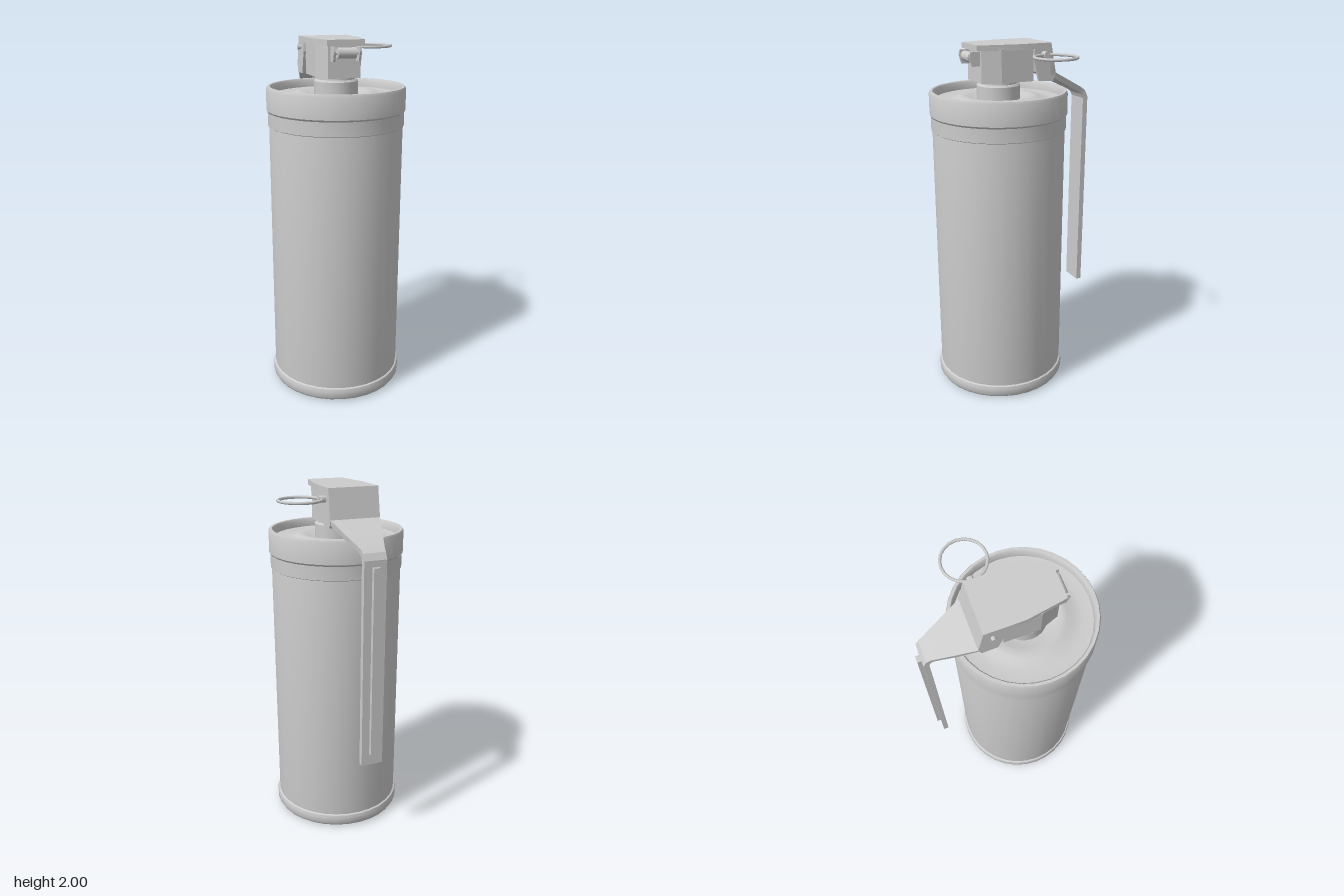
import * as THREE from 'three';
import { toCreasedNormals } from 'three/addons/utils/BufferGeometryUtils.js';

const CX = -0.01, CZ = 0.09; // axis of the can
const material = new THREE.MeshStandardMaterial({ color: 0xcccccc });

export function createModel() {
  const model = new THREE.Group();

  const add = (name, geometry, x = 0, y = 0, z = 0) => {
    const mesh = new THREE.Mesh(geometry, material);
    mesh.name = name;
    mesh.position.set(x, y, z);
    model.add(mesh);
    return mesh;
  };

  const lathe = (name, profile, segments = 32) => add(name, toCreasedNormals(
    new THREE.LatheGeometry(profile.map(p => new THREE.Vector2(...p)), segments), 0.6), CX, 0, CZ);

  // Extrudes a (z, y) outline along x, centred on x = 0
  const sidePlate = (outline, width) => {
    const shape = new THREE.Shape(outline.map(p => new THREE.Vector2(...p)));
    return new THREE.ExtrudeGeometry(shape, { depth: width, bevelEnabled: false })
      .translate(0, 0, -width / 2).rotateY(-Math.PI / 2);
  };

  // Can: recessed base, rolled bottom bead, wall and shoulder
  lathe('base', [[0, 0.035], [0.315, 0.035], [0.315, 0.012], [0.33, 0], [0.355, 0], [0.372, 0.008],
    [0.382, 0.025], [0.382, 0.06], [0.378, 0.075], [0.368, 0.08]]);
  lathe('canWall', [[0.368, 0.07], [0.37, 0.09], [0.37, 1.53], [0.366, 1.56], [0.356, 1.59], [0.345, 1.62]]);

  // Cap with a raised rim and dished lid
  lathe('cap', [[0.34, 1.61], [0.374, 1.61], [0.382, 1.62], [0.382, 1.735], [0.376, 1.748], [0.362, 1.748],
    [0.355, 1.738], [0.352, 1.70], [0.30, 1.695], [0.25, 1.70], [0.22, 1.715], [0.19, 1.72],
    [0.16, 1.71], [0.12, 1.70], [0, 1.70]]);
  lathe('capSkirt', [[0.368, 1.53], [0.376, 1.535], [0.376, 1.61]]).material = Object.assign(
    material.clone(), { side: THREE.DoubleSide });
  lathe('neck', [[0.12, 1.69], [0.12, 1.775], [0.112, 1.785], [0.105, 1.785], [0.105, 1.82], [0, 1.82]], 24);

  // Fuse head: plan outline (x, z) extruded upward
  const plan = new THREE.Shape([[0.09, -0.23], [0.128, -0.13], [0.128, 0.06], [-0.128, 0.06],
    [-0.128, -0.13], [-0.09, -0.23]].map(p => new THREE.Vector2(...p)));
  add('fuseHead', new THREE.ExtrudeGeometry(plan, { depth: 0.18, bevelEnabled: false })
    .rotateX(-Math.PI / 2), CX, 1.8, 0);

  // Front hinge: two lugs with a roller between
  const lug = [[0.22, 1.89], [0.275, 1.89], [0.29, 1.94], [0.285, 1.965], [0.22, 1.965]];
  for (const s of [-1, 1]) add('hingeLug', sidePlate(lug, 0.012), CX + s * 0.07, 0, 0);
  const alongX = (r, length, n) => new THREE.CylinderGeometry(r, r, length, n).rotateZ(Math.PI / 2);
  add('hingeRoller', toCreasedNormals(alongX(0.028, 0.1, 16), 0.6), CX, 1.933, 0.262);
  add('hingePin', alongX(0.01, 0.15, 10), CX, 1.933, 0.262);

  // Safety lever: stations of z, y and half width along its upper face
  const lever = [[0.26, 2, 0.103], [0.05, 2, 0.139], [-0.05, 2, 0.141], [-0.16, 2, 0.141], [-0.19, 1.84, 0.141],
    [-0.3, 1.785, 0.105], [-0.41, 1.73, 0.067], [-0.435, 1.71, 0.063], [-0.452, 1.675, 0.063], [-0.452, 0.51, 0.063]];
  add('safetyLever', strip(lever, 0.03), CX, 0, 0);
  add('leverRib', new THREE.BoxGeometry(0.036, 1.06, 0.03), CX, 1.11, -0.459);

  // Folded lever sides
  const flange = [[-0.06, 1.985], [-0.055, 1.92], [-0.09, 1.8], [-0.175, 1.795], [-0.19, 1.84], [-0.16, 1.995]];
  for (const s of [-1, 1]) add('leverFlange', sidePlate(flange, 0.018), CX + s * 0.132, 0, 0);

  // Pull pin and ring
  add('pullPin', alongX(0.012, 0.33, 10), -0.005, 1.94, -0.115);
  add('pinEye', toCreasedNormals(alongX(0.018, 0.04, 12), 0.6), 0.15, 1.94, -0.115);
  add('pullRing', new THREE.TorusGeometry(0.114, 0.008, 8, 20).rotateX(Math.PI / 2), 0.268, 1.94, -0.11);

  return model;
}

// Bent strip of varying width: one rectangular cross-section per station
function strip(stations, thickness) {
  const positions = [], index = [];
  const last = stations.length - 1;
  const direction = (a, b) => new THREE.Vector2(b[0] - a[0], b[1] - a[1]).normalize();
  stations.forEach(([z, y, w], i) => {
    const before = direction(stations[Math.max(i - 1, 0)], stations[Math.max(i, 1)]);
    const after = direction(stations[Math.min(i, last - 1)], stations[Math.min(i + 1, last)]);
    const t = before.clone().add(after).normalize();
    const d = thickness / t.dot(before); // mitred thickness
    const iz = z + t.y * -d, iy = y + t.x * d; // inner face
    positions.push(-w, y, z, w, y, z, w, iy, iz, -w, iy, iz);
    if (i < last) for (let k = 0; k < 4; k++) {
      const a = i * 4 + k, b = i * 4 + (k + 1) % 4;
      index.push(a, b, b + 4, a, b + 4, a + 4);
    }
  });
  const e = last * 4;
  index.push(0, 2, 1, 0, 3, 2, e, e + 1, e + 2, e, e + 2, e + 3);
  const geometry = new THREE.BufferGeometry();
  geometry.setAttribute('position', new THREE.Float32BufferAttribute(positions, 3));
  geometry.setIndex(index);
  return toCreasedNormals(geometry, 0.3);
}
